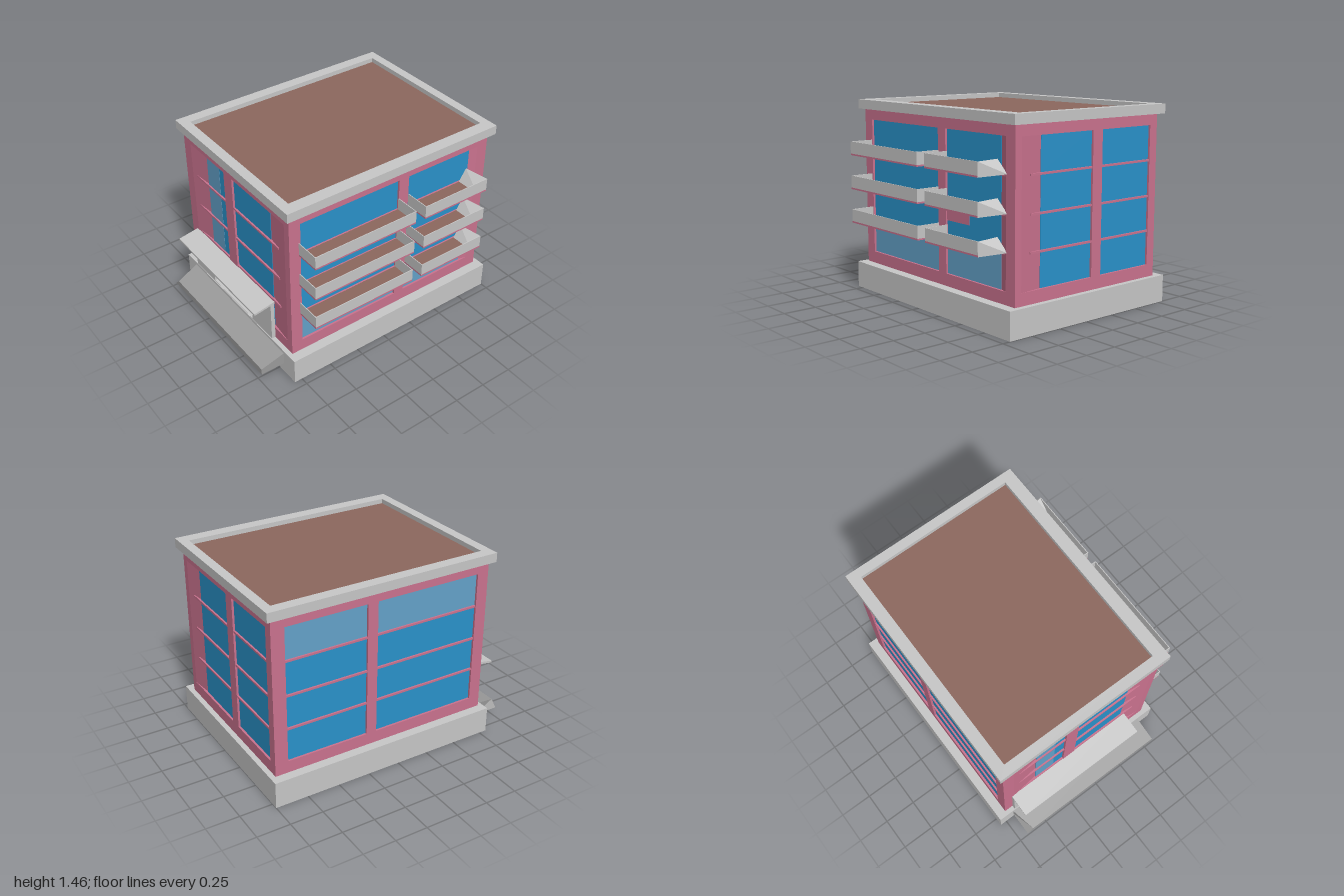
import * as THREE from 'three';

const mat = (name, color, side = THREE.FrontSide) =>
  Object.assign(new THREE.MeshStandardMaterial({ color, side }), { name });

export function createModel() {
  const pink = mat('pinkWall', 0xcb738f);
  const grey = mat('lightGrey', 0xc8c8c8, THREE.DoubleSide);
  const stepGrey = mat('stepGrey', 0x9c9c9c);
  const blue = mat('blueGlass', 0x2a93cb);
  const pale = mat('paleGlass', 0x64a2ca);
  const brown = mat('brownFloor', 0x8d685e);
  const model = new THREE.Group();
  model.name = 'building';

  const add = (name, geometry, material, parent = model) => {
    const m = new THREE.Mesh(geometry, material);
    m.name = name;
    parent.add(m);
    return m;
  };
  // box given by its limits on each axis
  const box = (name, [x0, x1], [y0, y1], [z0, z1], material, parent) => {
    const g = new THREE.BoxGeometry(x1 - x0, y1 - y0, z1 - z0);
    g.translate((x0 + x1) / 2, (y0 + y1) / 2, (z0 + z1) / 2);
    return add(name, g, material, parent);
  };
  const path = (pts, Type = THREE.Shape) => new Type(pts.map(([x, y]) => new THREE.Vector2(x, y)));
  const rect = (a, b, c, d) => [[a, c], [b, c], [b, d], [a, d]];
  const plate = (outer, holes, depth) => {
    const s = path(outer);
    s.holes = holes.map(h => path(h, THREE.Path));
    return new THREE.ExtrudeGeometry(s, { depth, bevelEnabled: false });
  };
  const faces = (name, tris, material) => {
    const g = new THREE.BufferGeometry();
    g.setAttribute('position', new THREE.Float32BufferAttribute(tris.flat(2), 3));
    g.computeVertexNormals();
    return add(name, g, material);
  };

  // plinth with a coloured underside
  box('plinth', [-0.8, 0.69], [0, 0.2], [-1, 0.81], [grey, grey, grey, pink, grey, grey]);

  // inner core behind the windows
  const D = 0.02;
  box('core', [-0.71, 0.595], [0.2, 1.4], [-0.94, 0.755], pink);

  // facades: wall sheet with tall openings, glass rows, sills and slanted reveals
  const rows = [[0.29, 0.535], [0.55, 0.79], [0.805, 1.05], [1.065, 1.31]];
  const facade = (name, span, pos, turn, columns, paleRow) => {
    const f = new THREE.Group();
    f.name = name;
    f.position.set(...pos);
    f.rotation.y = turn;
    model.add(f);
    const holes = columns.map(c => rect(...c.hole, 0.29, 1.31));
    add('wall', plate(rect(...span, 0.2, 1.4), holes, D), pink, f);
    for (const { hole, glass = hole, sill = hole } of columns) {
      rows.forEach((r, i) => {
        box('window', glass, r, [0, 0.004], i === paleRow ? pale : blue, f);
        if (i) box('sill', sill, [rows[i - 1][1], r[0]], [0, 0.017], pink, f);
      });
      // reveal sloping from the wall face down to the glass
      [0, 1].forEach(k => {
        if (hole[k] === glass[k]) return;
        const pts = [[hole[k], 0], [hole[k], -D], [glass[k], 0]];
        const g = plate(pts, [], 1.02).rotateX(-Math.PI / 2).translate(0, 0.29, 0);
        add('slantedReveal', g, pink, f);
      });
    }
    return f;
  };
  const front = facade('frontFacade', [-0.73, 0.615], [0, 0, 0.755], 0, [
    { hole: [-0.64, -0.185], glass: [-0.435, -0.185], sill: [-0.59, -0.185] },
    { hole: [-0.08, 0.56], glass: [-0.08, 0.375], sill: [-0.08, 0.48] }], -1);
  rows.slice(1).forEach(r => box('paleWindowPanel', [-0.435, -0.27], r, [0.004, 0.006], pale, front));
  facade('backFacade', [-0.615, 0.73], [0, 0, -0.94], Math.PI, [
    { hole: [-0.56, 0.085], glass: [-0.38, 0.085], sill: [-0.48, 0.085] },
    { hole: [0.175, 0.66] }], -1);
  const balconySide = facade('balconyFacade', [-0.775, 0.96], [0.595, 0, 0], Math.PI / 2, [
    { hole: [-0.685, 0.145] },
    { hole: [0.23, 0.87], glass: [0.23, 0.805] }], 0);
  box('blindPanel', [0.23, 0.475], [0.67, 0.79], [0.004, 0.008], pink, balconySide);
  facade('plainSideFacade', [-0.96, 0.775], [-0.71, 0, 0], -Math.PI / 2, [
    { hole: [-0.86, -0.23] }, { hole: [-0.15, 0.685] }], 3);

  // roof parapet and sunken roof deck
  const parapet = plate(rect(-0.77, 0.655, -0.81, 1), [rect(-0.685, 0.56, -0.735, 0.93)], 0.07);
  add('parapet', parapet.rotateX(-Math.PI / 2).translate(0, 1.39, 0), grey);
  box('roofDeck', [-0.69, 0.565], [1.395, 1.425], [-0.935, 0.74], brown);

  // balconies: slab, thin rails, and a folded panel at the far end
  const T = 0.006, X0 = 0.61, X1 = 0.8;
  for (const y of [0.538, 0.795, 1.053]) {
    const b = y + 0.012, t = y + 0.103;
    for (const [z0, z1] of [[-0.15, 0.7], [-0.81, -0.235]]) {
      box('balconySlab', [X0, X1], [y, b], [z0, z1], [pink, pink, brown, pink, pink, pink]);
      box('balconyRail', [X1 - T, X1], [b, t], [z0, z1], grey);
      box('balconyEnd', [X0, X1], [b, t], [z1 - T, z1], grey);
    }
    box('balconyEnd', [X0, X1], [b, t], [-0.15, -0.15 + T], grey);
    const low = [X1, y, -0.81], top = [X1, t, -0.81], wall = [X0, b, -0.88];
    const floor = [X1, b, -0.72], floorIn = [X0, b, -0.72], peak = [X0, t, -0.78];
    faces('foldedEndPanel', [
      [low, wall, top], [top, wall, peak], [top, peak, floor], [floor, peak, floorIn],
      [low, [X0, y, -0.81], wall]], grey);
  }

  // entrance surround with recessed glass and a slanted reveal
  const doorway = [[-0.395, 0.205], [0.14, 0.205], [0.34, 0.485], [-0.395, 0.485]];
  const surround = plate(rect(-0.66, 0.4, 0.2, 0.525), [doorway], 0.03);
  add('entranceSurround', surround.translate(0, 0, 0.775), grey);
  box('entranceGlass', [-0.4, 0.145], [0.2, 0.49], [0.774, 0.78], pale);
  faces('entranceReveal', [
    [[0.14, 0.205, 0.804], [0.34, 0.485, 0.804], [0.14, 0.485, 0.78]]], grey);

  // side profiles (z, y) swept along x
  const sweep = (pts, x0, x1) =>
    plate(pts.map(([z, y]) => [-z, y]), [], x1 - x0).rotateY(Math.PI / 2).translate(x0, 0, 0);
  add('canopy', sweep([[0.77, 0.535], [0.77, 0.518], [0.94, 0.49], [0.94, 0.506]], -0.66, 0.4), grey);

  // front step with a chamfered corner
  const step = sweep([[0.8, 0.18], [0.8, 0.08], [1, 0.08], [1, 0.13]], -0.68, 0.555);
  const p = step.attributes.position;
  for (let i = 0; i < p.count; i++)
    if (p.getX(i) < -0.6 && p.getZ(i) > 0.9 && p.getY(i) > 0.1) p.setX(i, -0.63);
  step.computeVertexNormals();
  add('frontStep', step, stepGrey);

  return model;
}
